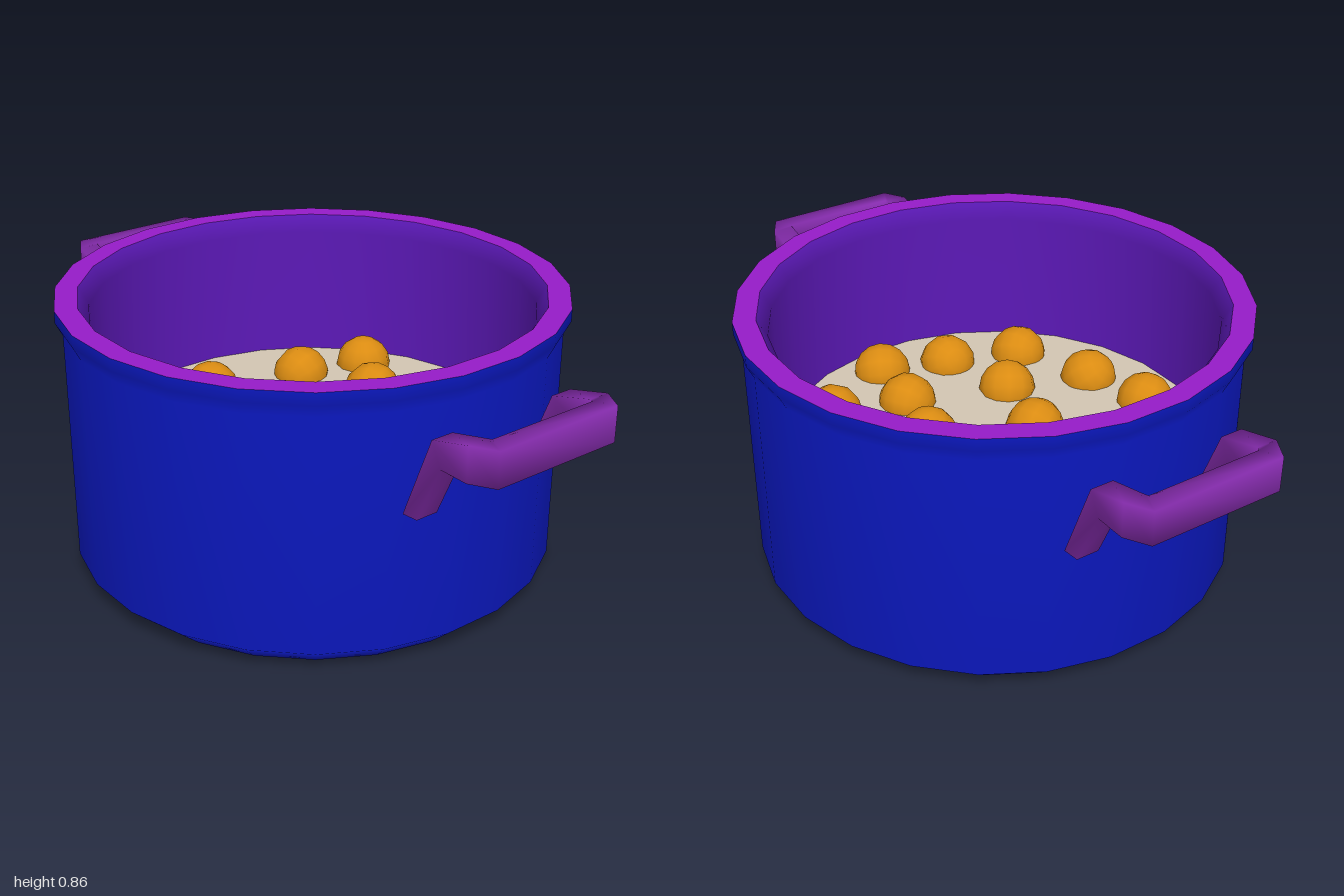
import * as THREE from 'three';

const SIDES = 24;
const mat = (color, side = THREE.FrontSide) => new THREE.MeshStandardMaterial({ color, side });

function addMesh(parent, name, geometry, material) {
  const mesh = new THREE.Mesh(geometry, material);
  mesh.name = name;
  parent.add(mesh);
  return mesh;
}

// Turned part with flats facing the four axes
function turned(profile) {
  const points = profile.map(([r, y]) => new THREE.Vector2(r, y));
  return new THREE.LatheGeometry(points, SIDES, Math.PI / SIDES);
}

// Square-section loop handle: [upper x, upper y], [lower x, lower y], outer z, inner z, inner x shift
function handleGeometry() {
  const half = [
    { top: [0.70, 0.49], low: [0.755, 0.495], out: 0.25, inn: 0.18, shift: 0 },
    { top: [0.80, 0.745], low: [0.835, 0.675], out: 0.25, inn: 0.18, shift: 0 },
    { top: [0.93, 0.78], low: [0.93, 0.675], out: 0.25, inn: 0.185, shift: 0 },
    { top: [1, 0.78], low: [1, 0.675], out: 0.21, inn: 0.18, shift: -0.06 },
  ];
  const ring = (s, sign) => [
    [s.top[0], s.top[1], s.out * sign],
    [s.top[0] + s.shift, s.top[1], s.inn * sign],
    [s.low[0] + s.shift, s.low[1], s.inn * sign],
    [s.low[0], s.low[1], s.out * sign],
  ];
  const rings = [...half.map((s) => ring(s, 1)), ...half.slice().reverse().map((s) => ring(s, -1))];
  const index = [];
  for (let i = 0; i < rings.length - 1; i++) {
    for (let j = 0; j < 4; j++) {
      const a = i * 4 + j, b = i * 4 + (j + 1) % 4;
      index.push(a, a + 4, b, b, a + 4, b + 4);
    }
  }
  const e = (rings.length - 1) * 4;
  index.push(0, 1, 2, 0, 2, 3, e, e + 2, e + 1, e, e + 3, e + 2);
  const g = new THREE.BufferGeometry();
  g.setAttribute('position', new THREE.Float32BufferAttribute(rings.flat(2), 3));
  g.setIndex(index);
  g.computeVertexNormals();
  return g;
}

export function createModel() {
  const model = new THREE.Group();
  model.name = 'cookingPot';

  // Pot body: outer shell, rim and lining
  const pot = new THREE.Group();
  pot.name = 'pot';
  model.add(pot);
  addMesh(pot, 'outerShell', turned([
    [0, 0], [0.66, 0], [0.737, 0.07], [0.737, 0.785], [0.757, 0.825], [0.757, 0.862],
  ]), mat(0x0b18c0));
  addMesh(pot, 'rim', turned([[0.757, 0.862], [0.69, 0.862]]), mat(0x951cc8));
  addMesh(pot, 'lining', turned([
    [0.69, 0.862], [0.66, 0.81], [0.66, 0.08], [0.6, 0.04], [0, 0.04],
  ]), mat(0x5a18b4));

  // Side handles
  const handle = handleGeometry();
  const handleMat = mat(0x862cae);
  addMesh(model, 'leftHandle', handle, handleMat);
  addMesh(model, 'rightHandle', handle, handleMat).rotation.y = Math.PI;

  // Soup surface
  const level = 0.39;
  const soup = addMesh(model, 'soup',
    new THREE.CircleGeometry(0.662, SIDES, Math.PI / SIDES), mat(0xd2c6b2, THREE.DoubleSide));
  soup.rotation.x = -Math.PI / 2;
  soup.position.y = level;

  // Floating dumplings, each turned differently
  const spots = [
    [-0.31, -0.46], [-0.12, -0.34], [0.13, -0.45], [0.39, -0.35], [-0.37, -0.24], [0.11, -0.17],
    [0.32, -0.12], [0.53, -0.09], [-0.18, -0.03], [-0.45, 0.07], [-0.03, 0.13], [0.21, 0.19],
    [0.46, 0.12], [-0.45, 0.28], [-0.25, 0.36], [0.38, 0.35], [0.12, 0.45], [-0.10, 0.51],
  ];
  const dumplings = new THREE.Group();
  dumplings.name = 'dumplings';
  model.add(dumplings);
  const ball = new THREE.SphereGeometry(0.091, 12, 8);
  const ballMat = mat(0xdb8c12);
  spots.forEach(([x, z], i) => {
    const dumpling = addMesh(dumplings, 'dumpling', ball, ballMat);
    dumpling.position.set(x, level, z);
    dumpling.rotation.set(i * 1.3, i * 2.1, i * 0.7);
  });

  return model;
}
